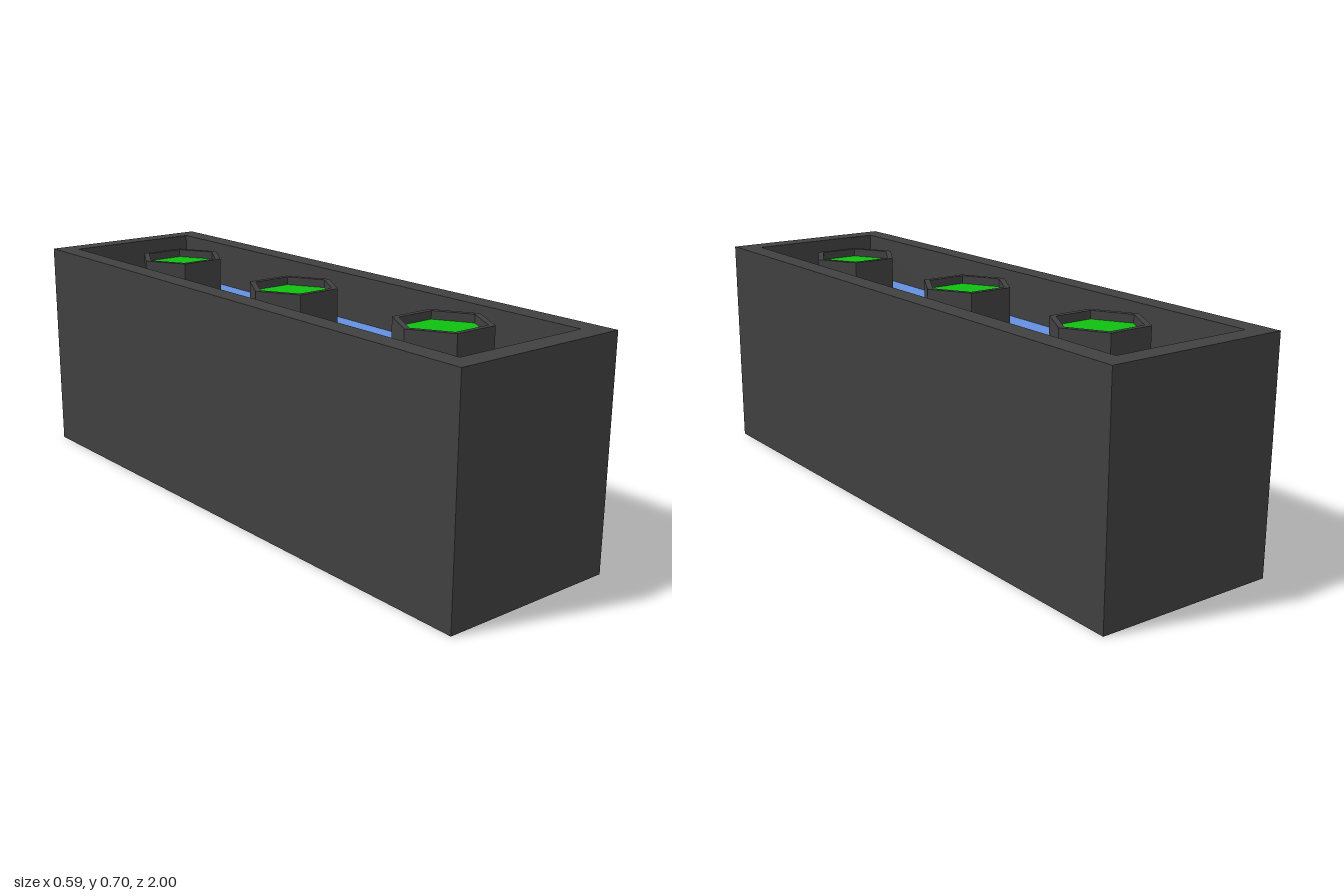
import * as THREE from 'three';

const HEIGHT = 0.705, FLOOR = 0.555, RIM = 0.7, FILL = 0.675;

const dark = new THREE.MeshStandardMaterial({ color: 0x404040, flatShading: true });
const blue = new THREE.MeshStandardMaterial({ color: 0x6490e0, flatShading: true });
const green = new THREE.MeshStandardMaterial({ color: 0x0fc00f, flatShading: true });

function mesh(name, geometry, material) {
  const m = new THREE.Mesh(geometry, material);
  m.name = name;
  return m;
}

// Rectangle outline in the ground plane (shape y is -z)
const rect = (x0, x1, z0, z1) =>
  [[x0, -z1], [x1, -z1], [x1, -z0], [x0, -z0]].map(([x, y]) => new THREE.Vector2(x, y));

const hexagon = (r) => Array.from({ length: 6 }, (_, i) =>
  new THREE.Vector2(r * Math.cos(i * Math.PI / 3), r * Math.sin(i * Math.PI / 3)));

// Upright ring: outline with a hole, raised from y0 to y1
function ring(outer, inner, y0, y1) {
  const shape = new THREE.Shape(outer);
  shape.holes.push(new THREE.Path(inner));
  return new THREE.ExtrudeGeometry(shape, { depth: y1 - y0, bevelEnabled: false })
    .rotateX(-Math.PI / 2).translate(0, y0, 0);
}

// Flat sheet facing up at height y
const sheet = (outline, y) =>
  new THREE.ShapeGeometry(new THREE.Shape(outline)).rotateX(-Math.PI / 2).translate(0, y, 0);

export function createModel() {
  const group = new THREE.Group();
  group.name = 'troughWithPosts';

  // Outer walls, underside and blue inner floor
  const inside = rect(-0.23, 0.227, -0.937, 0.931);
  group.add(mesh('walls', ring(rect(-0.295, 0.295, -1, 1), inside, 0, HEIGHT), dark));
  group.add(mesh('underside', sheet(inside, 0).rotateX(Math.PI)
    .scale(1, 1, 1).translate(0, 0, -0.006), dark));
  group.add(mesh('floor', sheet(inside, FLOOR), blue));

  // Hexagonal posts with recessed green caps
  for (const [x, z] of [[-0.004, -0.62], [-0.004, -0.002], [0.021, 0.624]]) {
    const post = new THREE.Group();
    post.name = 'post';
    post.position.set(x, 0, z);
    post.add(mesh('postShell', ring(hexagon(0.146), hexagon(0.126), FLOOR, RIM), dark));
    post.add(mesh('postCap', sheet(hexagon(0.126), FILL), green));
    group.add(post);
  }
  return group;
}
